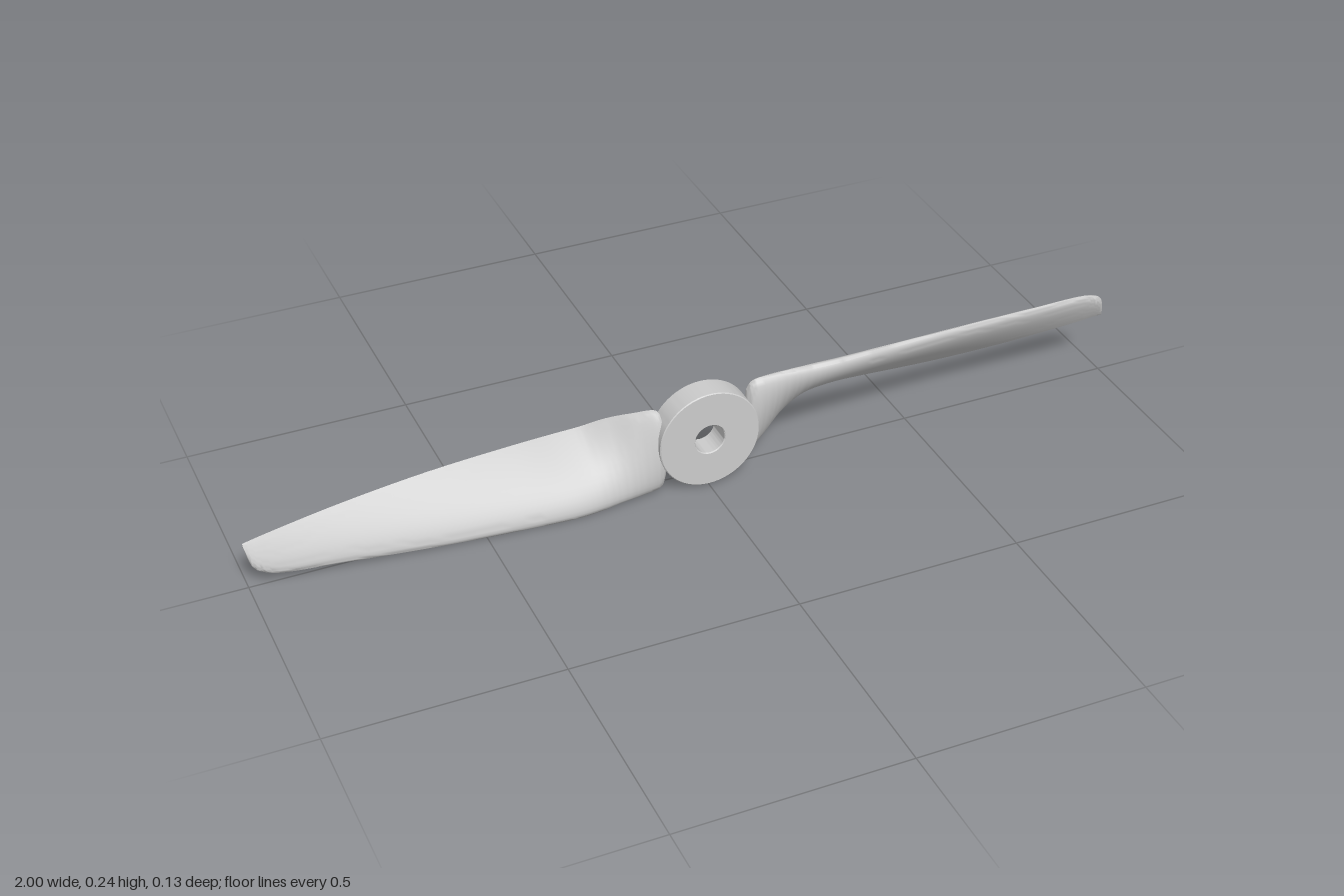
import * as THREE from 'three';
import { toCreasedNormals } from 'three/addons/utils/BufferGeometryUtils.js';

const CENTRE_Y = 0.122;
const material = new THREE.MeshStandardMaterial({ color: 0xcccccc });

// Blade stations: x, leading edge y z, trailing edge y z, thickness (y from the hub axis)
const STATIONS = [
  [0.095, 0.088, 0.032, -0.058, 0.022, 0.022],
  [0.106, 0.107, 0.035, -0.077, 0.016, 0.036],
  [0.15, 0.114, 0.038, -0.068, -0.008, 0.041],
  [0.2, 0.117, 0.044, -0.047, -0.042, 0.042],
  [0.25, 0.119, 0.051, -0.026, -0.064, 0.042],
  [0.3, 0.12, 0.054, -0.02, -0.07, 0.04],
  [0.4, 0.119, 0.049, -0.021, -0.063, 0.034],
  [0.6, 0.114, 0.036, -0.019, -0.047, 0.025],
  [0.8, 0.104, 0.02, -0.006, -0.03, 0.018],
  [0.95, 0.093, 0.008, 0.011, -0.017, 0.013],
  [0.985, 0.074, 0.002, 0.016, -0.014, 0.01],
  [1.0, 0.026, -0.009, 0.018, -0.012, 0.003],
];

function bladeGeometry(rings = 88, half = 18) {
  const curve = (pick) => new THREE.CatmullRomCurve3(STATIONS.map((s) => new THREE.Vector3(...pick(s))));
  const leading = curve((s) => [s[0], s[1], s[2]]);
  const trailing = curve((s) => [s[0], s[3], s[4]]);
  const thickness = curve((s) => [s[0], s[5], 0]);
  const n = half * 2;
  const positions = [];
  const index = [];

  for (let i = 0; i <= rings; i++) {
    const a = leading.getPoint(i / rings);
    const b = trailing.getPoint(i / rings);
    const t = thickness.getPoint(i / rings).y;
    const chord = b.clone().sub(a);
    const normal = new THREE.Vector3(0, chord.z, -chord.y).normalize(); // towards the front
    const blunt = THREE.MathUtils.clamp((0.25 - a.x) / 0.15, 0, 1); // oval near the root
    for (let j = 0; j < n; j++) {
      const c = (1 - Math.cos((j / half) * Math.PI)) / 2;
      const foil = 5 * (0.2969 * Math.sqrt(c) - 0.126 * c - 0.3516 * c ** 2 + 0.2843 * c ** 3 - 0.1036 * c ** 4);
      const oval = Math.sqrt(Math.max(0, c * (1 - c)));
      const h = t * THREE.MathUtils.lerp(foil, oval, blunt);
      // fuller front face, flatter back face
      const side = j < half ? 1.4 : -0.6;
      const p = a.clone().addScaledVector(chord, c).addScaledVector(normal, h * side);
      positions.push(p.x, p.y, p.z);
    }
  }
  for (let i = 0; i < rings; i++) {
    for (let j = 0; j < n; j++) {
      const k = (j + 1) % n;
      const p = i * n;
      index.push(p + j, p + k, p + n + k, p + j, p + n + k, p + n + j);
    }
  }
  // End caps
  const last = rings * n;
  for (let j = 1; j < half; j++) {
    const m = n - j;
    const mNext = (n - j - 1) % n;
    index.push(j, m, j + 1, j + 1, m, mNext);
    index.push(last + j, last + j + 1, last + m, last + j + 1, last + mNext, last + m);
  }
  index.push(0, n - 1, 1, last, last + 1, last + n - 1);

  const geometry = new THREE.BufferGeometry();
  geometry.setAttribute('position', new THREE.Float32BufferAttribute(positions, 3));
  geometry.setIndex(index);
  return toCreasedNormals(geometry, 0.8);
}

function hubGeometry() {
  const disc = new THREE.Shape().absarc(0, 0, 0.115, 0, Math.PI * 2, false);
  disc.holes.push(new THREE.Path().absarc(0, 0, 0.034, 0, Math.PI * 2, true));
  const bevel = 0.002;
  const geometry = new THREE.ExtrudeGeometry(disc, {
    depth: 0.058 - 2 * bevel, curveSegments: 40,
    bevelThickness: bevel, bevelSize: bevel, bevelOffset: -bevel, bevelSegments: 1,
  });
  geometry.translate(0, 0, bevel);
  return toCreasedNormals(geometry, 0.5);
}

export function createModel() {
  const group = new THREE.Group();
  group.name = 'propeller';

  // Hub disc with the shaft hole
  const hub = new THREE.Mesh(hubGeometry(), material);
  hub.name = 'hub';
  hub.position.y = CENTRE_Y;
  group.add(hub);

  // Two identical blades, half a turn apart
  const geometry = bladeGeometry();
  ['leftBlade', 'rightBlade'].forEach((name, i) => {
    const blade = new THREE.Mesh(geometry, material);
    blade.name = name;
    blade.position.y = CENTRE_Y;
    blade.rotation.z = i * Math.PI;
    group.add(blade);
  });
  return group;
}
